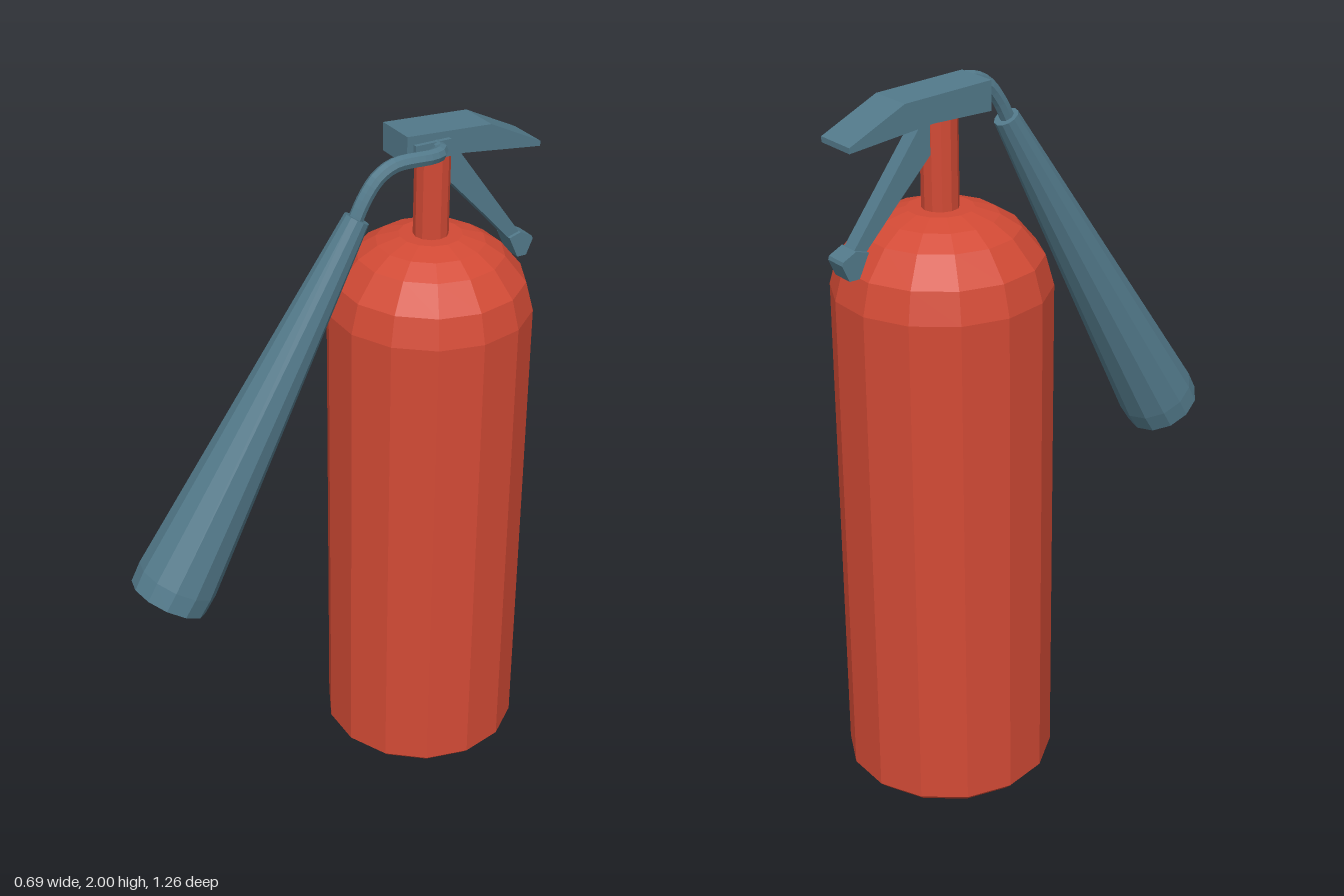
import * as THREE from 'three';

const red = new THREE.MeshStandardMaterial({ color: 0xd24a35, flatShading: true });
red.name = 'red paint';
const slate = new THREE.MeshStandardMaterial({ color: 0x52798a, flatShading: true });
slate.name = 'slate blue';

const vec2 = ([x, y]) => new THREE.Vector2(x, y);
const vec3 = ([x, y, z]) => new THREE.Vector3(x, y, z);

function part(parent, name, geometry, material) {
  const mesh = new THREE.Mesh(geometry, material);
  mesh.name = name;
  parent.add(mesh);
  return mesh;
}

// Turned shape; profile runs from bottom to top, first corner on +x
function turned(profile, sides) {
  return new THREE.LatheGeometry(profile.map(vec2), sides, Math.PI / 2);
}

// Side profile (distance backward, height) extruded across the width
function sidePlate(profile, width) {
  const geometry = new THREE.ExtrudeGeometry(new THREE.Shape(profile.map(vec2)), {
    depth: width, bevelEnabled: false,
  });
  return geometry.translate(0, 0, -width / 2).rotateY(Math.PI / 2);
}

export function createModel() {
  const model = new THREE.Group();
  model.name = 'fireExtinguisher';

  // Tank with bevelled foot and domed shoulder
  const tank = part(model, 'tank', turned([
    [0, 0], [0.275, 0], [0.295, 0.02], [0.295, 1.46], [0.272, 1.545],
    [0.21, 1.62], [0.155, 1.655], [0.09, 1.675], [0, 1.675],
  ], 14), red);
  tank.position.set(0.05, 0, -0.325);

  // Valve assembly, turned relative to the tank; its front is local +z
  const valve = new THREE.Group();
  valve.name = 'valveAssembly';
  valve.position.copy(tank.position);
  valve.rotation.y = THREE.MathUtils.degToRad(-25);
  model.add(valve);

  const neck = part(valve, 'neck', new THREE.CylinderGeometry(0.05, 0.05, 0.28, 12), red);
  neck.position.y = 1.8;

  // Upper handle bends down toward the back
  part(valve, 'topHandle', sidePlate([
    [-0.12, 1.92], [0.06, 1.92], [0.31, 1.89], [0.31, 1.905], [0.145, 1.985], [-0.12, 2],
  ], 0.125), slate);

  // Squeeze lever with a wider pad at its end
  part(valve, 'leverArm', sidePlate([
    [0.03, 1.93], [0.03, 1.84], [0.155, 1.71], [0.245, 1.614],
    [0.285, 1.62], [0.18, 1.762], [0.056, 1.93],
  ], 0.045), slate);
  part(valve, 'leverPad', sidePlate([
    [0.245, 1.614], [0.275, 1.55], [0.305, 1.55], [0.325, 1.595], [0.322, 1.605], [0.283, 1.625],
  ], 0.065), slate);

  // Hose outlet on the side of the valve
  const outlet = part(valve, 'hoseOutlet', new THREE.BoxGeometry(0.05, 0.045, 0.11), slate);
  outlet.position.set(0.05, 1.952, 0.045);

  // Hose curves forward, then down into the horn
  const hosePath = new THREE.CatmullRomCurve3([
    [0.05, 1.955, 0.03], [0.095, 1.955, 0.035], [0.115, 1.955, 0.07], [0.115, 1.955, 0.19],
    [0.115, 1.93, 0.24], [0.115, 1.88, 0.28], [0.115, 1.8, 0.32],
  ].map(vec3));
  part(valve, 'hose', new THREE.TubeGeometry(hosePath, 20, 0.021, 8, false), slate);

  // Discharge horn: a long cone with a straight rim band
  const hornTop = vec3([0.115, 1.83, 0.303]);
  const hornEnd = vec3([0.1, 0.815, 0.895]);
  const axis = hornTop.clone().sub(hornEnd);
  const length = axis.length();
  const horn = part(valve, 'horn', turned([
    [0, 0], [0.113, 0], [0.116, 0.06], [0.036, length], [0, length],
  ], 12), slate);
  horn.position.copy(hornEnd);
  horn.quaternion.setFromUnitVectors(new THREE.Vector3(0, 1, 0), axis.normalize());

  return model;
}
